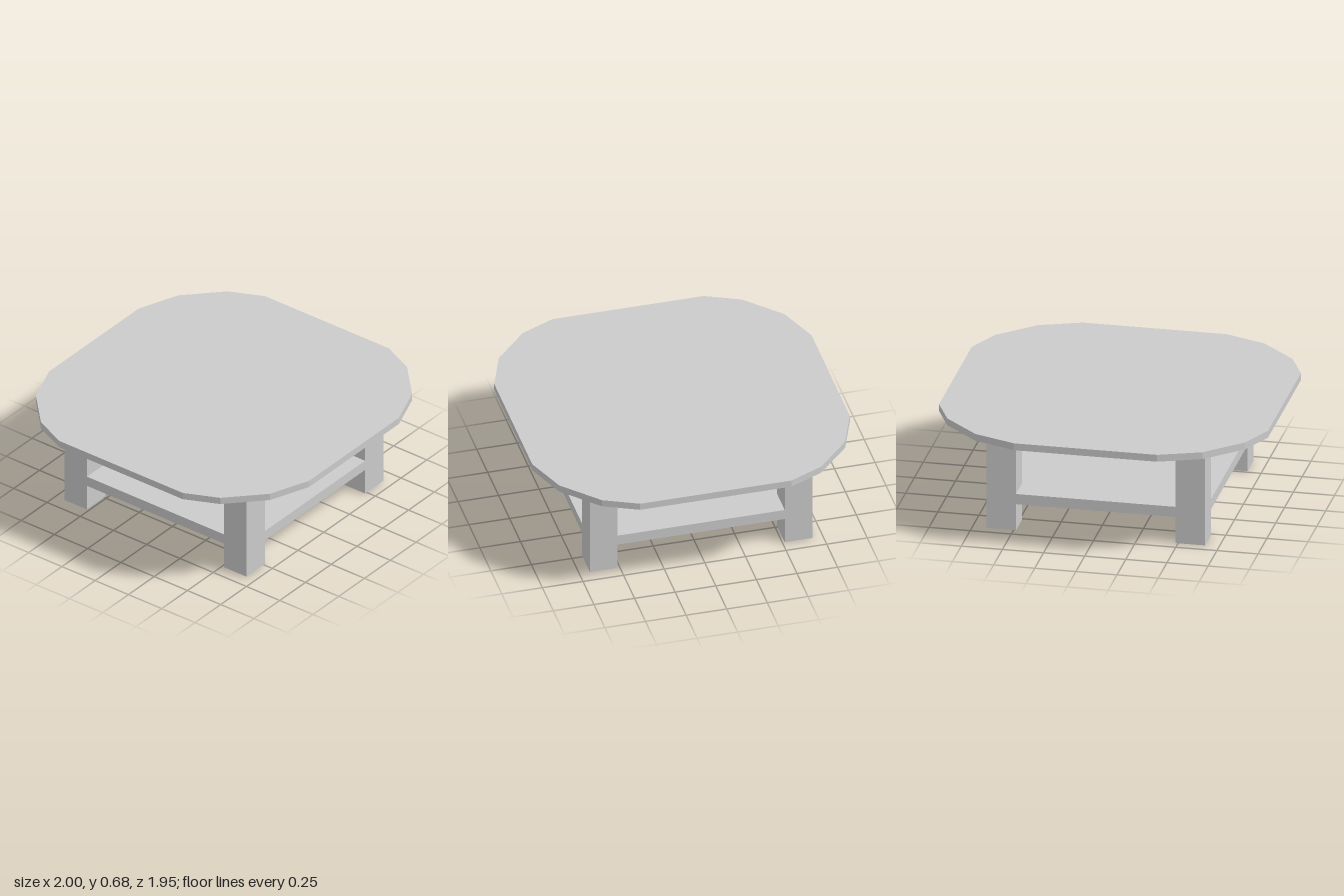
import * as THREE from 'three';

const material = new THREE.MeshStandardMaterial({ color: 0xcccccc, flatShading: true });

function addPart(group, name, geometry, x, y, z) {
  const mesh = new THREE.Mesh(geometry, material);
  mesh.name = name;
  mesh.position.set(x, y, z);
  group.add(mesh);
}

export function createModel() {
  const table = new THREE.Group();
  table.name = 'coffeeTable';

  // Table top: one faceted corner mirrored around the outline
  const corner = [[1, 0.465], [0.905, 0.675], [0.69, 0.88], [0.435, 0.977]];
  const outline = [];
  for (const [sx, sz] of [[1, 1], [-1, 1], [-1, -1], [1, -1]]) {
    const points = corner.map(([x, z]) => new THREE.Vector2(x * sx, z * sz));
    outline.push(...(sx * sz > 0 ? points : points.reverse()));
  }
  const topGeometry = new THREE.ExtrudeGeometry(new THREE.Shape(outline), { depth: 0.044, bevelEnabled: false });
  topGeometry.rotateX(-Math.PI / 2);
  addPart(table, 'tableTop', topGeometry, 0, 0.633, 0);

  // Square legs
  const legX = 0.575, legZ = 0.6, legW = 0.18, legD = 0.17, legH = 0.633;
  for (const sx of [-1, 1]) {
    for (const sz of [-1, 1]) {
      const name = (sz > 0 ? 'front' : 'back') + (sx > 0 ? 'Left' : 'Right') + 'Leg';
      addPart(table, name, new THREE.BoxGeometry(legW, legH, legD), sx * legX, legH / 2, sz * legZ);
    }
  }

  // Lower shelf, notched around the legs and flush with their outer faces
  const ox = legX + legW / 2, oz = legZ + legD / 2;
  const ix = legX - legW / 2, iz = legZ - legD / 2;
  const shelf = new THREE.Shape([
    [ox, -iz], [ox, iz], [ix, iz], [ix, oz], [-ix, oz], [-ix, iz],
    [-ox, iz], [-ox, -iz], [-ix, -iz], [-ix, -oz], [ix, -oz], [ix, -iz],
  ].map(([x, z]) => new THREE.Vector2(x, z)));
  const shelfGeometry = new THREE.ExtrudeGeometry(shelf, { depth: 0.065, bevelEnabled: false });
  shelfGeometry.rotateX(-Math.PI / 2);
  addPart(table, 'lowerShelf', shelfGeometry, 0, 0.167, 0);

  return table;
}
